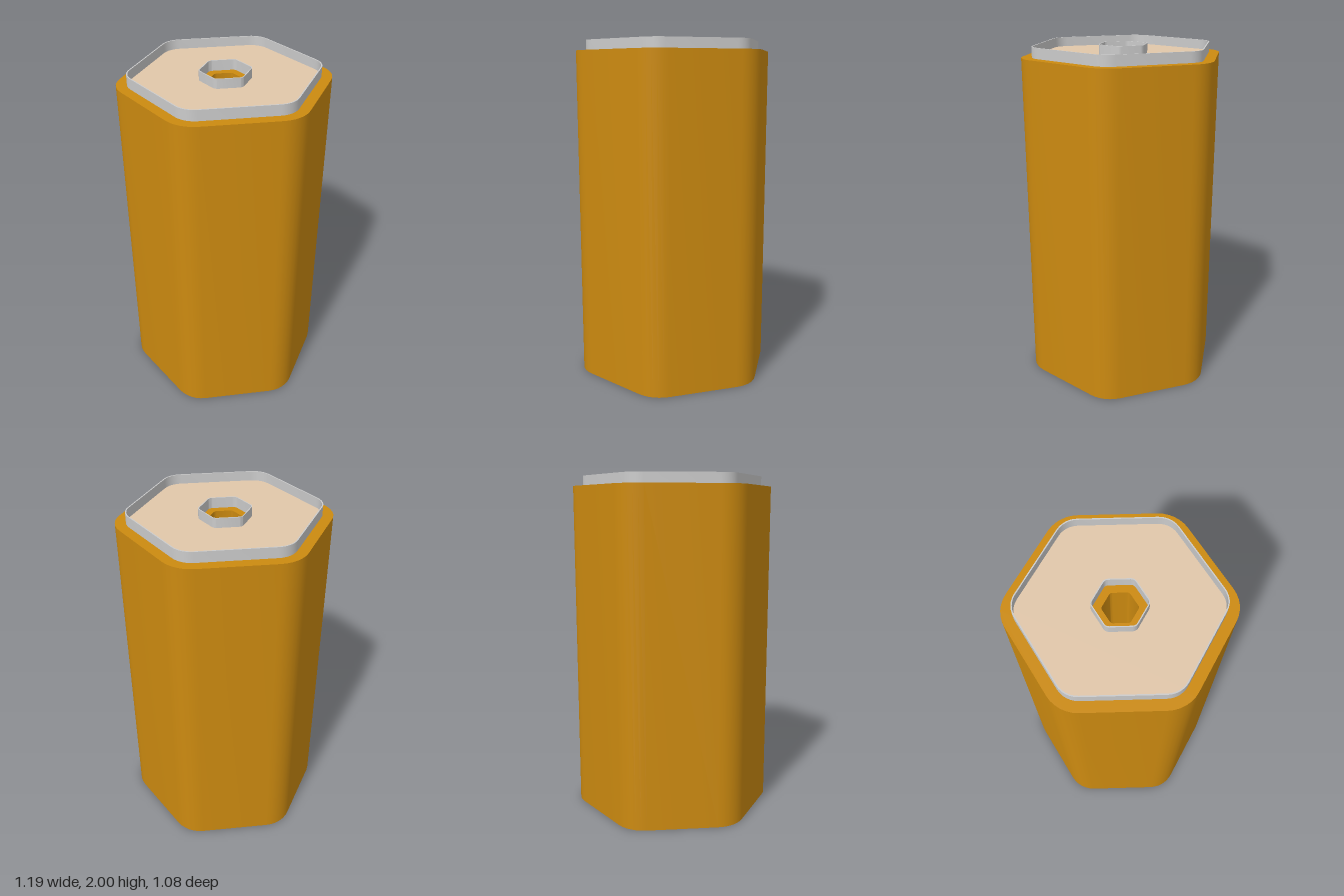
import * as THREE from 'three';
import { toCreasedNormals } from 'three/addons/utils/BufferGeometryUtils.js';

// Points of a hexagon with rounded corners: half width across flats, corner radius
function roundedHex(apothem, radius, segments = 6) {
  const points = [];
  const centre = (apothem - radius) / Math.cos(Math.PI / 6);
  for (let i = 0; i < 6; i++) {
    const a = (i * Math.PI) / 3;
    for (let j = 0; j <= segments; j++) {
      const b = a + (j / segments - 0.5) * (Math.PI / 3);
      points.push(new THREE.Vector2(
        centre * Math.cos(a) + radius * Math.cos(b),
        centre * Math.sin(a) + radius * Math.sin(b)
      ));
    }
  }
  return points;
}

// Upright hexagonal prism with a hexagonal hole, from height y0 to y1
function hexTube(name, outer, inner, y0, y1, material) {
  const shape = new THREE.Shape(roundedHex(...outer));
  shape.holes.push(new THREE.Path(roundedHex(...inner)));
  const extruded = new THREE.ExtrudeGeometry(shape, { depth: y1 - y0, bevelEnabled: false });
  extruded.rotateX(-Math.PI / 2);
  extruded.translate(0, y0, 0);
  const mesh = new THREE.Mesh(toCreasedNormals(extruded, 0.6), material);
  mesh.name = name;
  return mesh;
}

export function createModel() {
  const group = new THREE.Group();
  group.name = 'hexagonalCell';

  const orange = new THREE.MeshStandardMaterial({ color: 0xcc8a10 });
  const grey = new THREE.MeshStandardMaterial({ color: 0xcccccc });
  const beige = new THREE.MeshStandardMaterial({ color: 0xe1c7aa });

  const bodyTop = 1.94, fillTop = 1.945, rimTop = 2, seat = 1.88;

  group.add(
    // Tall casing with a hole all the way through
    hexTube('casing', [0.538, 0.18], [0.083, 0.018], 0, bodyTop, orange),
    // Thin liner walls standing proud of the casing
    hexTube('outerLiner', [0.479, 0.122], [0.472, 0.115], seat, rimTop, grey),
    hexTube('innerLiner', [0.131, 0.034], [0.125, 0.028], seat, rimTop, grey),
    // Filling between the two liners
    hexTube('filling', [0.472, 0.115], [0.131, 0.034], seat, fillTop, beige)
  );
  return group;
}
